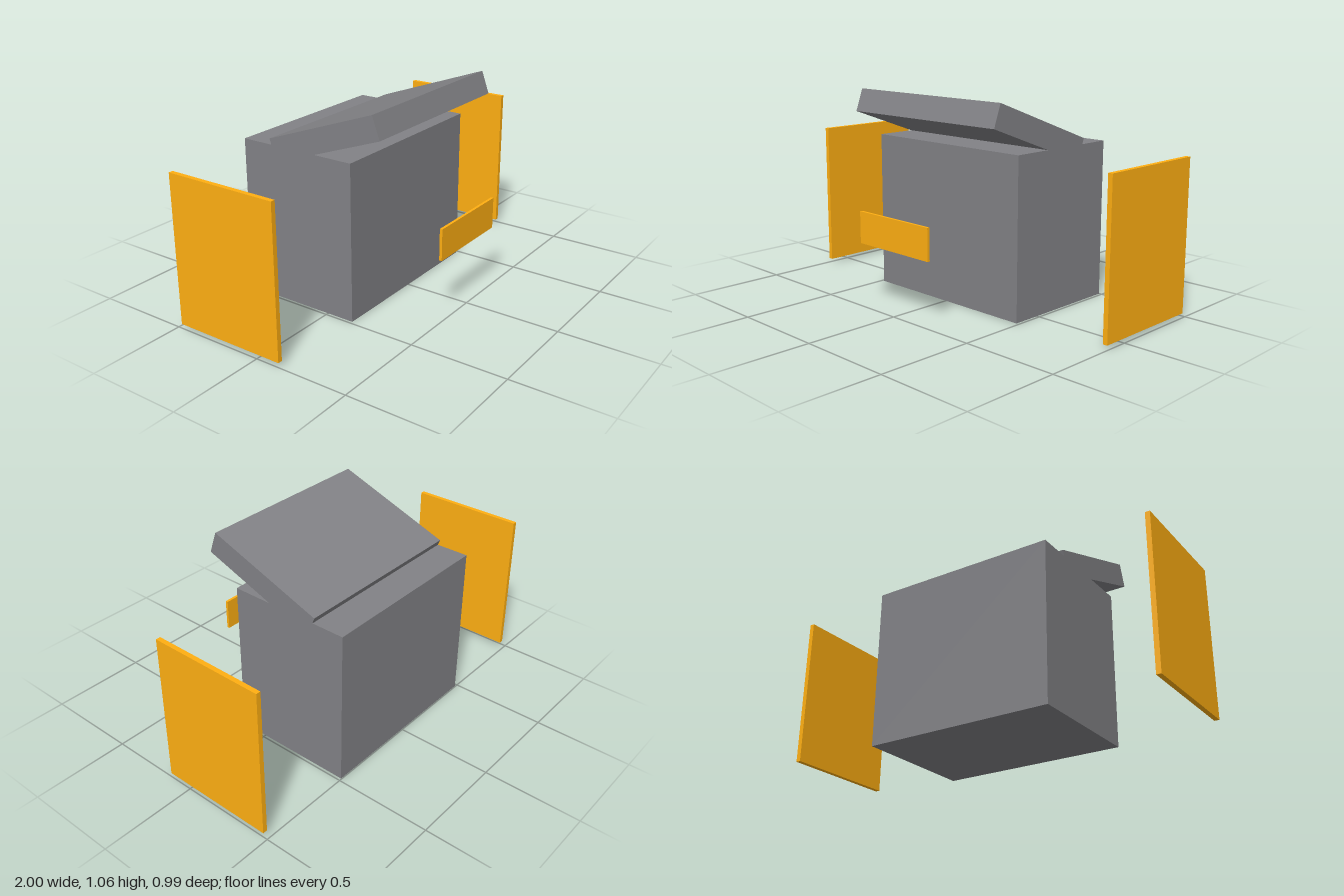
import * as THREE from 'three';

export function createModel() {
  const model = new THREE.Group();
  const slate = new THREE.MeshStandardMaterial({ color: 0x828286, flatShading: true });
  const amber = new THREE.MeshStandardMaterial({ color: 0xffaf12, flatShading: true });

  const addBox = (name, size, position, material) => {
    const mesh = new THREE.Mesh(new THREE.BoxGeometry(...size), material);
    mesh.name = name;
    mesh.position.set(...position);
    model.add(mesh);
    return mesh;
  };

  const width = 0.97, depth = 0.645;

  // Main box
  addBox('body', [width, 0.81, depth], [0, 0.405, -0.174], slate);

  // Lid, tipped open with its front edge raised
  const lid = addBox('lid', [width, 0.121, depth], [0, 0.893, -0.011], slate);
  lid.rotation.x = -THREE.MathUtils.degToRad(20);

  // Detached side panels
  for (const [name, side] of [['leftPanel', 1], ['rightPanel', -1]]) {
    addBox(name, [0.024, 0.768, 0.606], [side * 0.988, 0.407, -0.174], amber);
  }

  // Detached front plate
  addBox('frontPlate', [0.486, 0.162, 0.014], [0, 0.406, 0.49], amber);

  return model;
}
